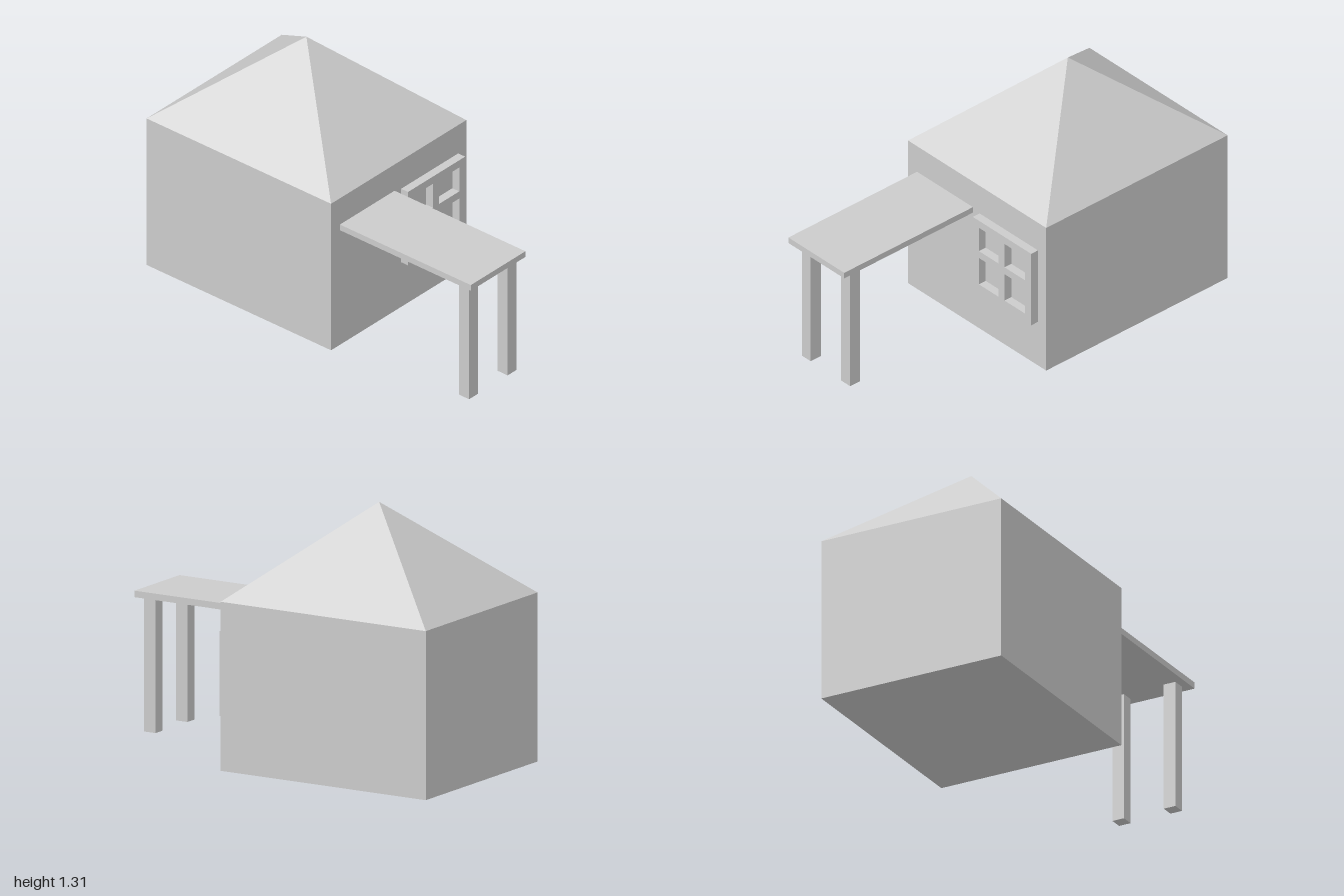
import * as THREE from 'three';

export function createModel() {
  const model = new THREE.Group();
  const material = new THREE.MeshStandardMaterial({ color: 0xcccccc, flatShading: true });

  const add = (name, geometry) => {
    const mesh = new THREE.Mesh(geometry, material);
    mesh.name = name;
    model.add(mesh);
    return mesh;
  };

  // Box given by its lower and upper corners
  const addBox = (name, [x0, y0, z0], [x1, y1, z1]) =>
    add(name, new THREE.BoxGeometry(x1 - x0, y1 - y0, z1 - z0))
      .position.set((x0 + x1) / 2, (y0 + y1) / 2, (z0 + z1) / 2);

  // House body
  const wallX = 0.17, eaves = 0.838, ridge = 1.307;
  addBox('walls', [-1, 0.006, -0.496], [wallX, eaves, 0.496]);

  // Pyramid roof, flush with the walls
  const roof = new THREE.ConeGeometry(Math.SQRT1_2, 1, 4, 1);
  roof.rotateY(Math.PI / 4);
  roof.scale(wallX + 1, ridge - eaves, 0.992);
  add('roof', roof).position.set((wallX - 1) / 2, (eaves + ridge) / 2, 0);

  // Canopy on two posts
  addBox('canopy', [wallX, 0.657, 0.03], [1, 0.689, 0.431]);
  for (const z of [0.041, 0.324]) {
    addBox('canopyPost', [0.887, 0, z], [0.952, 0.657, z + 0.064]);
  }

  // Window frame with four openings
  const rectangle = (Type, x0, y0, x1, y1) => new Type([
    new THREE.Vector2(x0, y0), new THREE.Vector2(x1, y0),
    new THREE.Vector2(x1, y1), new THREE.Vector2(x0, y1),
  ]);
  const frame = rectangle(THREE.Shape, 0.018, 0.26, 0.437, 0.677);
  for (const [x0, x1] of [[0.062, 0.201], [0.246, 0.394]]) {
    for (const [y0, y1] of [[0.306, 0.46], [0.5, 0.636]]) {
      frame.holes.push(rectangle(THREE.Path, x0, y0, x1, y1));
    }
  }
  const windowGeometry = new THREE.ExtrudeGeometry(frame, { depth: 0.044, bevelEnabled: false });
  windowGeometry.rotateY(Math.PI / 2);
  add('windowFrame', windowGeometry).position.x = wallX;

  return model;
}
